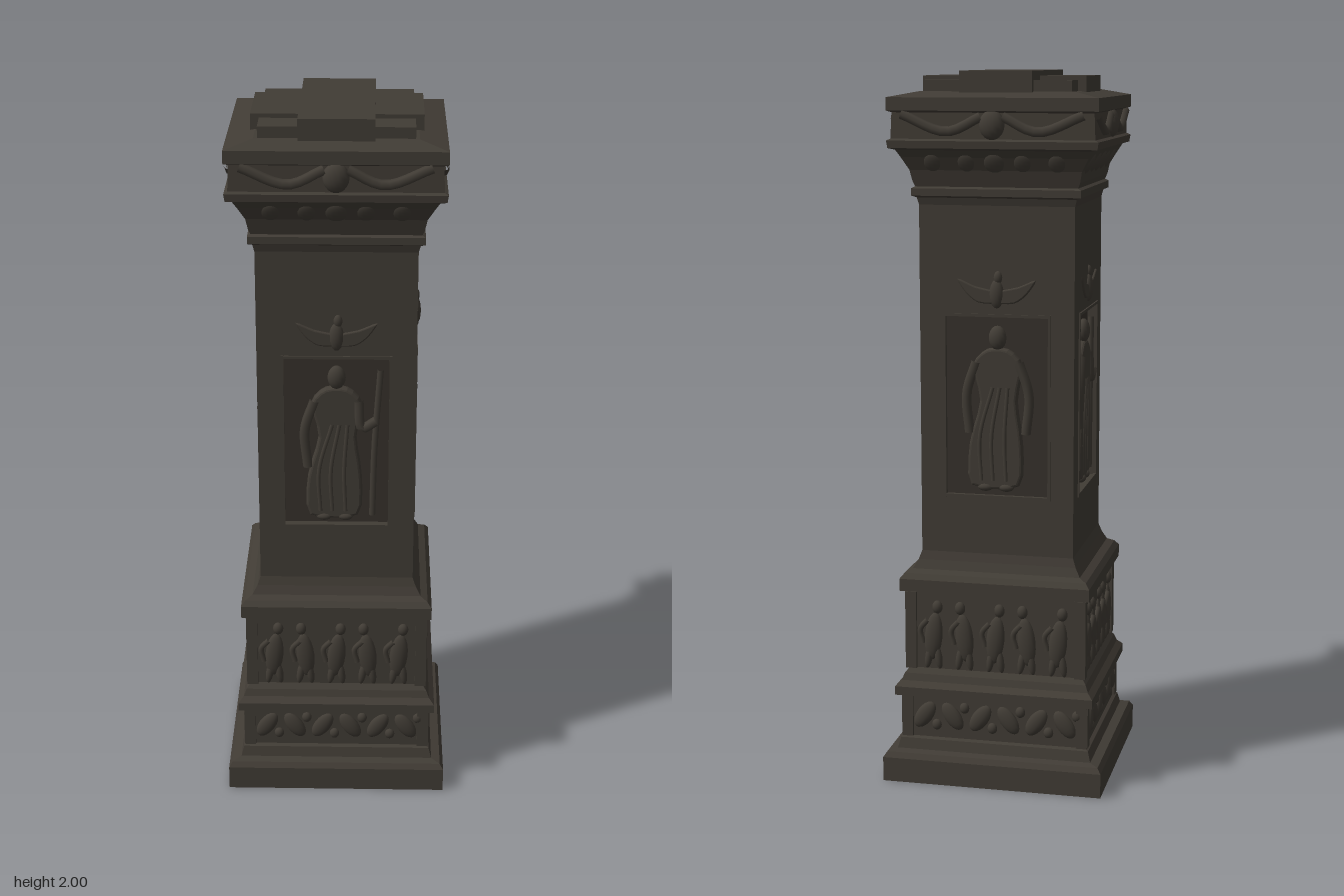
import * as THREE from 'three';

const stone = new THREE.MeshStandardMaterial({ color: 0x413c35 });
stone.name = 'dark stone';
const shade = new THREE.MeshStandardMaterial({ color: 0x37322c });
shade.name = 'recessed stone';

function add(parent, name, geometry, x = 0, y = 0, z = 0, material = stone) {
  const mesh = new THREE.Mesh(geometry, material);
  mesh.name = name;
  mesh.position.set(x, y, z);
  parent.add(mesh);
  return mesh;
}

// Rectangular loft from rings of [y, half width, half depth], with hard edges
function loft(rings) {
  const pos = [], index = [], n = rings.length;
  for (const [y, hx, hz] of rings) pos.push(hx, y, hz, hx, y, -hz, -hx, y, -hz, -hx, y, hz);
  for (let i = 0; i < n - 1; i++) {
    for (let k = 0; k < 4; k++) {
      const a = i * 4 + k, b = i * 4 + (k + 1) % 4;
      index.push(a, b, b + 4, a, b + 4, a + 4);
    }
  }
  const t = (n - 1) * 4;
  index.push(0, 2, 1, 0, 3, 2, t, t + 1, t + 2, t, t + 2, t + 3);
  const g = new THREE.BufferGeometry();
  g.setAttribute('position', new THREE.Float32BufferAttribute(pos, 3));
  g.setIndex(index);
  const flat = g.toNonIndexed();
  flat.computeVertexNormals();
  return flat;
}

// Soft carved relief cut from a closed outline
function relief(points, depth, bevel) {
  const shape = new THREE.Shape();
  shape.setFromPoints(new THREE.CatmullRomCurve3(
    points.map(([x, y]) => new THREE.Vector3(x, y, 0)), true, 'catmullrom', 0.4)
    .getPoints(points.length * 3).slice(0, -1).map(p => new THREE.Vector2(p.x, p.y)));
  return new THREE.ExtrudeGeometry(shape, {
    depth, bevelEnabled: true, bevelThickness: bevel, bevelSize: bevel * 0.7, bevelOffset: -bevel * 0.7, bevelSegments: 3,
  });
}

function blob(parent, name, x, y, z, sx, sy, sz, tilt = 0) {
  const mesh = add(parent, name, new THREE.SphereGeometry(1, 14, 10), x, y, z);
  mesh.scale.set(sx, sy, sz);
  mesh.rotation.z = tilt;
  return mesh;
}

function limb(parent, name, points, radius) {
  const curve = new THREE.CatmullRomCurve3(points.map(p => new THREE.Vector3(...p)));
  return add(parent, name, new THREE.TubeGeometry(curve, 10, radius, 7));
}

// Shaft wall with a rectangular niche cut through it
function wall(half, y0, y1, nicheHalf, depth) {
  const s = new THREE.Shape([[-half, y0], [half, y0], [half, y1], [-half, y1]].map(p => new THREE.Vector2(...p)));
  s.holes.push(new THREE.Path([[-nicheHalf, 0.83], [-nicheHalf, 1.34], [nicheHalf, 1.34], [nicheHalf, 0.83]]
    .map(p => new THREE.Vector2(...p))));
  return new THREE.ExtrudeGeometry(s, { depth, bevelEnabled: false });
}

// Robed figure in low relief, standing in the niche
function robedFigure(withStaff) {
  const g = new THREE.Group();
  g.name = 'robedFigure';
  add(g, 'robe', relief([[-0.075, 0.86], [0.06, 0.86], [0.07, 0.98], [0.055, 1.1], [0.07, 1.2], [0.03, 1.245],
    [-0.03, 1.245], [-0.07, 1.2], [-0.05, 1.1], [-0.08, 0.98]], 0.008, 0.012), 0, 0, -0.022);
  blob(g, 'head', 0, 1.277, -0.012, 0.025, 0.034, 0.018);
  limb(g, 'rightArm', [[-0.06, 1.21, -0.008], [-0.088, 1.12, -0.01], [-0.08, 1.01, -0.01]], 0.014);
  if (withStaff) {
    limb(g, 'leftArm', [[0.06, 1.21, -0.008], [0.07, 1.13, -0.004], [0.108, 1.15, -0.006]], 0.014);
    limb(g, 'staff', [[0.1, 0.86, -0.012], [0.105, 1.07, -0.012], [0.12, 1.3, -0.012]], 0.009);
  } else {
    limb(g, 'leftArm', [[0.06, 1.21, -0.008], [0.088, 1.12, -0.01], [0.08, 1.01, -0.01]], 0.014);
  }
  for (const x of [-0.045, -0.012, 0.025]) // robe folds
    limb(g, 'robeFold', [[x * 0.6 + 0.015, 1.14, -0.003], [x - 0.004, 1.0, -0.002], [x, 0.875, -0.004]], 0.006);
  for (const x of [-0.035, 0.025]) blob(g, 'foot', x, 0.856, -0.01, 0.022, 0.012, 0.014);
  return g;
}

// Winged crest over the niche
function crest() {
  const g = new THREE.Group();
  g.name = 'crest';
  for (const s of [-1, 1]) {
    const wing = [[0, 1.375], [0.05, 1.375], [0.085, 1.4], [0.11, 1.44], [0.06, 1.42], [0, 1.405]].map(([x, y]) => [x * s, y]);
    add(g, 'wing', relief(s > 0 ? wing : wing.reverse(), 0.004, 0.006), 0, 0, -0.004);
  }
  blob(g, 'crestBody', 0, 1.4, 0, 0.02, 0.04, 0.014);
  blob(g, 'crestHead', 0.004, 1.445, 0, 0.012, 0.018, 0.01);
  return g;
}

export function createModel() {
  const model = new THREE.Group();
  model.name = 'carvedPillar';
  const shaft = [0.217, 0.207], cut = 0.025;

  // Stepped base
  add(model, 'base', loft([
    [0, 0.315, 0.295], [0.07, 0.315, 0.295], [0.085, 0.305, 0.285], [0.09, 0.28, 0.262], [0.12, 0.272, 0.255],
    [0.125, 0.262, 0.245], [0.245, 0.262, 0.245], [0.25, 0.285, 0.267], [0.275, 0.285, 0.267], [0.29, 0.27, 0.25],
    [0.31, 0.262, 0.243], [0.325, 0.25, 0.23], [0.55, 0.25, 0.23], [0.555, 0.272, 0.255], [0.59, 0.272, 0.255],
    [0.605, 0.26, 0.242], [0.615, 0.24, 0.225], [0.64, 0.226, 0.214], [0.665, 0.217, 0.207],
  ]));

  // Flared capital
  add(model, 'capital', loft([
    [1.64, 0.217, 0.207], [1.66, 0.222, 0.212], [1.665, 0.235, 0.222], [1.685, 0.235, 0.222], [1.69, 0.226, 0.214],
    [1.705, 0.232, 0.218], [1.735, 0.238, 0.226], [1.77, 0.258, 0.242], [1.79, 0.27, 0.254], [1.795, 0.287, 0.269],
    [1.815, 0.29, 0.271], [1.82, 0.28, 0.262], [1.89, 0.277, 0.26], [1.895, 0.29, 0.271], [1.93, 0.29, 0.271],
    [1.945, 0.215, 0.205],
  ]));

  // Crossed slabs on top
  for (const [w, top, d] of [[0.41, 1.975, 0.4], [0.456, 1.986, 0.226], [0.2, 2, 0.434]])
    add(model, 'topSlab', new THREE.BoxGeometry(w, top - 1.925, d), 0, (top + 1.925) / 2, 0);

  // Shaft core forms the back of each niche
  add(model, 'shaftCore', new THREE.BoxGeometry(2 * (shaft[0] - cut), 1.02, 2 * (shaft[1] - cut)), 0, 1.15, 0, shade);

  for (let k = 0; k < 4; k++) {
    const a = k % 2, b = 1 - a; // a: width index, b: depth index
    const side = new THREE.Group();
    side.name = ['front', 'left', 'back', 'right'][k] + 'Side';
    side.rotation.y = k * Math.PI / 2;
    model.add(side);

    // Shaft wall, niche moulding, figure and crest
    const half = a ? shaft[a] - cut : shaft[a], niche = a ? 0.137 : 0.148, out = shaft[b];
    add(side, 'shaftWall', wall(half, 0.655, 1.65, niche, cut), 0, 0, out - cut);
    for (const s of [-1, 1]) add(side, 'nicheEdge', new THREE.BoxGeometry(0.008, 0.52, 0.008), s * niche, 1.085, out);
    for (const y of [0.83, 1.34]) add(side, 'nicheEdge', new THREE.BoxGeometry(niche * 2, 0.008, 0.008), 0, y, out);
    const figure = robedFigure(k !== 2);
    figure.position.z = out;
    const badge = crest();
    badge.position.z = out;
    side.add(figure, badge);

    // Upper frieze: corner posts and a row of small figures
    const w2 = [0.25, 0.23][a], z2 = [0.25, 0.23][b];
    for (const s of [-1, 1])
      add(side, 'friezePost', new THREE.BoxGeometry(0.032, 0.225, 0.02), s * (w2 - 0.006), 0.437, z2);
    for (let i = 0; i < 5; i++) {
      const x = (i - 2) * w2 * 0.36, lean = (i % 2 ? 1 : -1) * 0.012;
      blob(side, 'friezeBody', x, 0.42, z2, 0.026, 0.07, 0.014, lean * 8);
      blob(side, 'friezeHead', x - lean, 0.507, z2, 0.015, 0.019, 0.013);
      limb(side, 'friezeArm', [[x - 0.015, 0.47, z2 + 0.006], [x - 0.038, 0.44, z2 + 0.003], [x - 0.03, 0.4, z2 + 0.003]], 0.008);
      for (const s of [-1, 1]) blob(side, 'friezeLeg', x + s * 0.014, 0.36, z2, 0.011, 0.036, 0.01, s * 0.15);
    }

    // Lower frieze: framed scrolls
    const w1 = [0.262, 0.245][a], z1 = [0.262, 0.245][b];
    for (const s of [-1, 1])
      add(side, 'scrollFrame', new THREE.BoxGeometry(0.03, 0.12, 0.016), s * (w1 - 0.01), 0.185, z1);
    for (let i = 0; i < 6; i++) {
      const x = (i - 2.5) * w1 * 0.31, t = i % 2 ? 0.6 : -0.6;
      blob(side, 'scrollLeaf', x, 0.19, z1, 0.024, 0.045, 0.013, t);
      blob(side, 'scrollBud', x + 0.035, 0.19 + t * 0.045, z1, 0.014, 0.016, 0.011);
    }

    // Capital band: centre boss with swags, leaves beneath
    const w3 = [0.277, 0.26][a], z3 = [0.278, 0.261][b];
    blob(side, 'capitalBoss', 0, 1.858, z3, 0.035, 0.04, 0.022);
    for (const s of [-1, 1]) {
      limb(side, 'swag', [[s * 0.03, 1.88, z3], [s * w3 * 0.45, 1.84, z3 + 0.002], [s * w3 * 0.9, 1.885, z3]], 0.014);
      for (const f of [0.28, 0.62]) {
        const leaf = blob(side, 'capitalLeaf', s * w3 * f, 1.755, z3 - 0.034, 0.03, 0.034, 0.012);
        leaf.rotation.x = 0.5;
      }
    }
    blob(side, 'capitalLeaf', 0, 1.755, z3 - 0.034, 0.035, 0.036, 0.013).rotation.x = 0.5;
  }
  return model;
}
